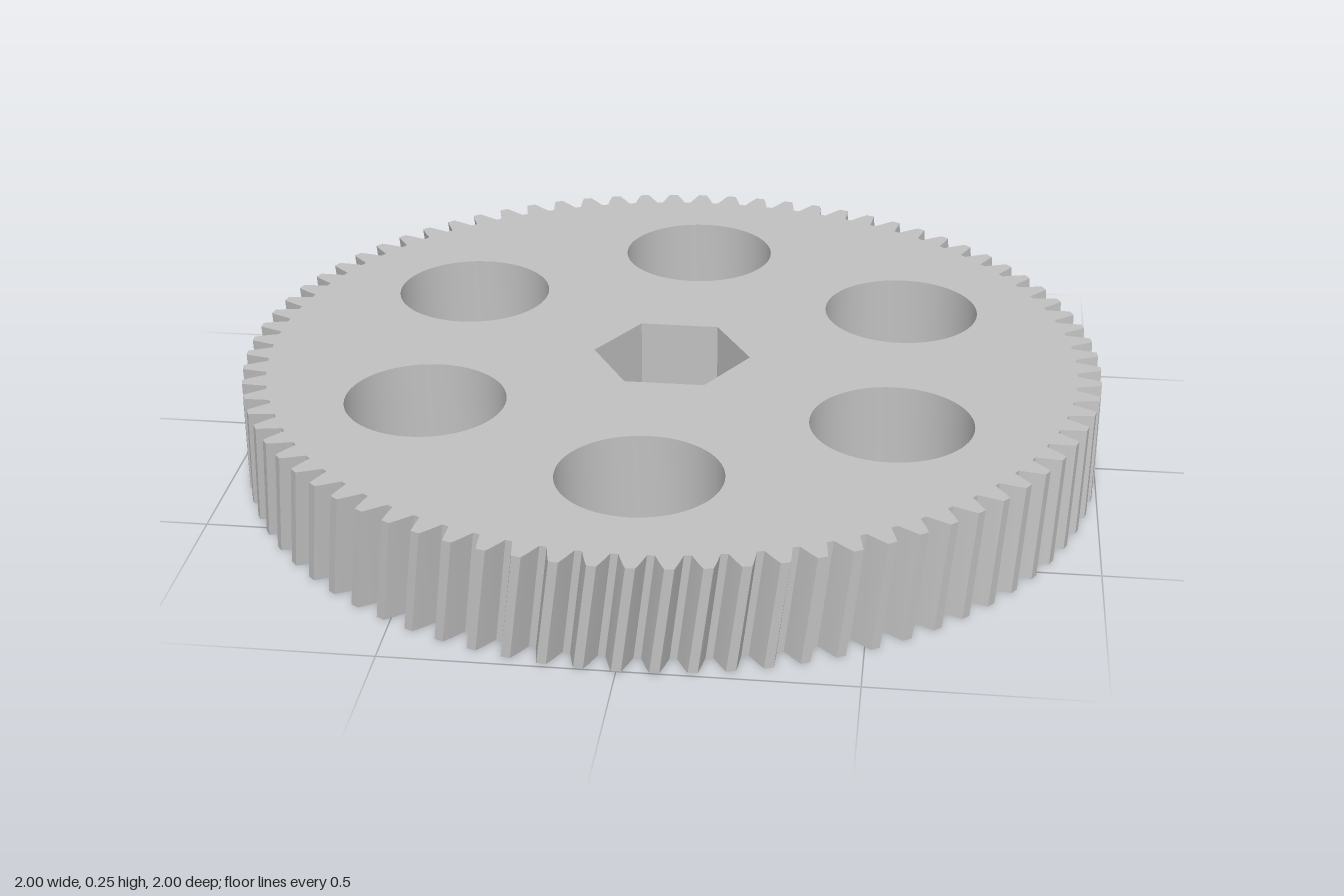
import * as THREE from 'three';
import { toCreasedNormals } from 'three/addons/utils/BufferGeometryUtils.js';

const HEIGHT = 0.245, TEETH = 80, TWIST = 0.031, RIM = 0.93;

const polar = (r, a) => new THREE.Vector2(r * Math.cos(a), r * Math.sin(a));

// Regular polygon outline, used for circles and the hex bore
function ring(r, sides, cx = 0, cy = 0) {
  return Array.from({ length: sides }, (_, i) =>
    polar(r, (i / sides) * Math.PI * 2).add(new THREE.Vector2(cx, cy)));
}

// Extrude an outline upward, turning it steadily by twist
function extrude(outline, holes, twist, steps) {
  const shape = new THREE.Shape(outline);
  for (const h of holes) shape.holes.push(new THREE.Path(h));
  const geo = new THREE.ExtrudeGeometry(shape, { depth: HEIGHT, steps, bevelEnabled: false });
  geo.rotateX(-Math.PI / 2);
  const p = geo.attributes.position, v = new THREE.Vector3(), up = new THREE.Vector3(0, 1, 0);
  for (let i = 0; i < p.count; i++) {
    v.fromBufferAttribute(p, i);
    v.applyAxisAngle(up, (twist * v.y) / HEIGHT);
    p.setXYZ(i, v.x, v.y, v.z);
  }
  return toCreasedNormals(geo, 0.3);
}

export function createModel() {
  const group = new THREE.Group();
  const steel = new THREE.MeshStandardMaterial({ color: 0xc0c0c0 });
  steel.name = 'grey steel';

  // Disc with six round lightening holes and a hexagonal bore
  const holes = [ring(0.184, 6)];
  for (let i = 0; i < 6; i++) {
    const c = polar(0.609, Math.PI / 6 + (i * Math.PI) / 3);
    holes.push(ring(0.184, 64, c.x, c.y));
  }
  const disc = new THREE.Mesh(extrude(ring(RIM, 160), holes, 0, 1), steel);
  disc.name = 'gearDisc';

  // Helical toothed rim: [radius, half angle] along one tooth flank
  const flank = [[0.945, 0.031], [0.958, 0.0262], [0.976, 0.0197], [0.989, 0.0147], [1, 0.0103]];
  const outline = [];
  for (let t = 0; t < TEETH; t++) {
    const a = (t / TEETH) * Math.PI * 2;
    for (const [r, h] of flank) outline.push(polar(r, a - h));
    for (const [r, h] of [...flank].reverse()) outline.push(polar(r, a + h));
  }
  const teeth = new THREE.Mesh(extrude(outline, [ring(RIM - 0.001, 160)], TWIST, 4), steel);
  teeth.name = 'helicalTeeth';

  group.add(disc, teeth);
  return group;
}
